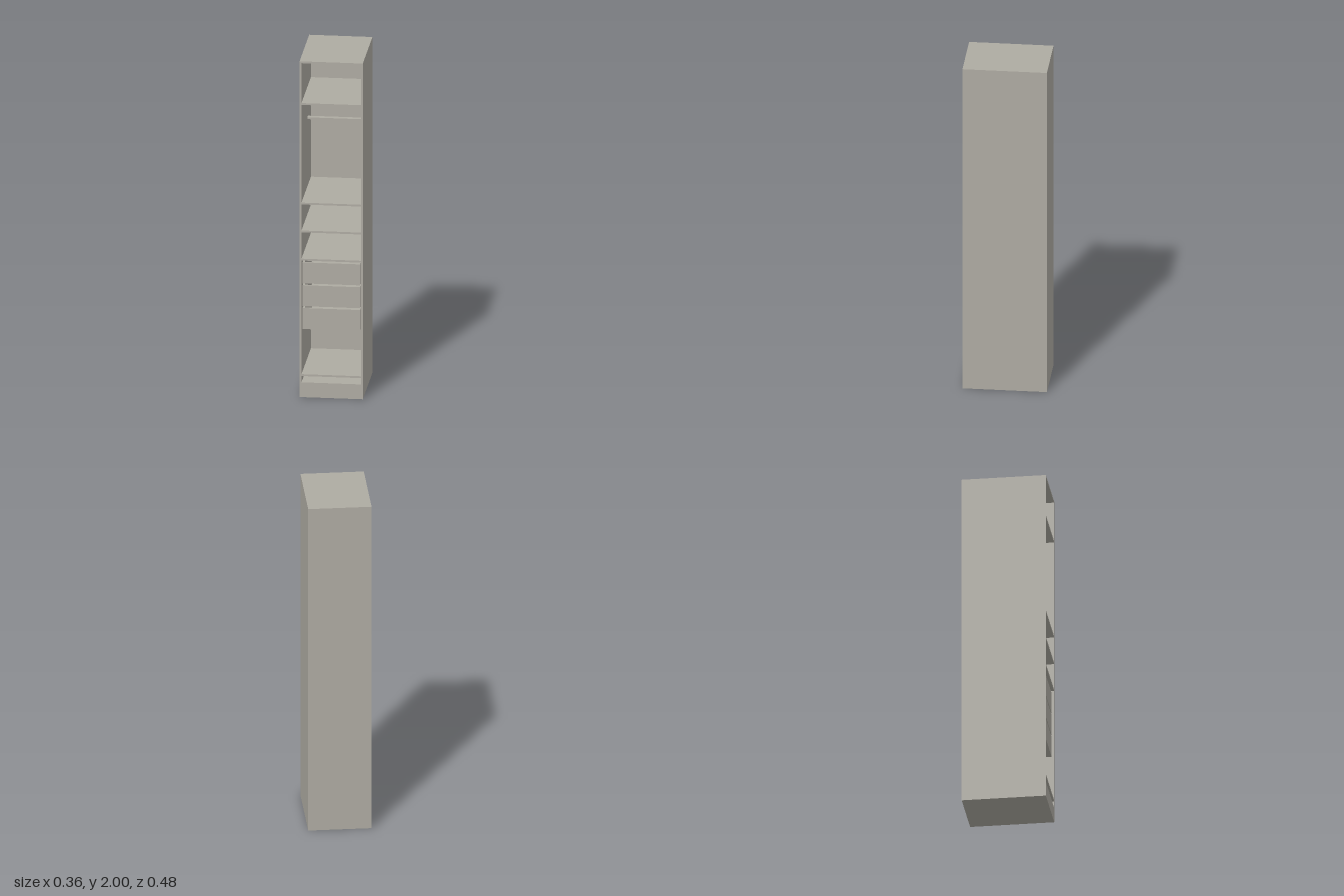
import * as THREE from 'three';

const W = 0.36, H = 2, D = 0.48; // outer size
const T = 0.011;                 // board thickness
const IN = W / 2 - T;            // inner half width
const BASE = 0.088;              // plinth height

export function createModel() {
  const model = new THREE.Group();
  model.name = 'wardrobe';
  const board = new THREE.MeshStandardMaterial({ color: 0xaeaba2 });
  board.name = 'warm grey board';

  const add = (name, geometry, x, y, z, parent = model) => {
    const mesh = new THREE.Mesh(geometry, board);
    mesh.name = name;
    mesh.position.set(x, y, z);
    parent.add(mesh);
    return mesh;
  };
  const box = (name, w, h, d, x, y, z, parent) =>
    add(name, new THREE.BoxGeometry(w, h, d), x, y, z, parent);

  // Carcass: sides, top and plinth as one frame, open to the front
  const outline = new THREE.Shape()
    .moveTo(-W / 2, 0).lineTo(W / 2, 0).lineTo(W / 2, H).lineTo(-W / 2, H).closePath();
  outline.holes.push(new THREE.Path()
    .moveTo(-IN, BASE).lineTo(-IN, H - T).lineTo(IN, H - T).lineTo(IN, BASE).closePath());
  add('carcass', new THREE.ExtrudeGeometry(outline, { depth: D - T, bevelEnabled: false }), 0, 0, -D / 2 + T);
  box('backPanel', W, H, T, 0, H / 2, -D / 2 + T / 2);

  // Shelves, flush with the front edge
  for (const y of [0.131, 0.819, 0.987, 1.153, 1.746]) {
    box('shelf', IN * 2, T, D - T, 0, y, T / 2);
  }

  // Hanging rail
  box('hangingRail', 0.308, T, 0.03, 0, 1.609, 0.065);

  // Drawers: open-topped boxes, set slightly back
  const dw = 0.328, dh = 0.125, dd = 0.44, front = D / 2 - 0.013;
  for (const y of [0.464, 0.6, 0.736]) {
    const drawer = new THREE.Group();
    drawer.name = 'drawer';
    drawer.position.set(0, y, front - dd / 2);
    model.add(drawer);
    for (const s of [1, -1]) {
      box(s > 0 ? 'drawerFront' : 'drawerBack', dw, dh, T, 0, 0, s * (dd - T) / 2, drawer);
      box('drawerSide', T, dh, dd - 2 * T, s * (dw - T) / 2, 0, 0, drawer);
    }
    box('drawerBottom', dw - 2 * T, T, dd - 2 * T, 0, (T - dh) / 2, 0, drawer);
  }
  return model;
}
